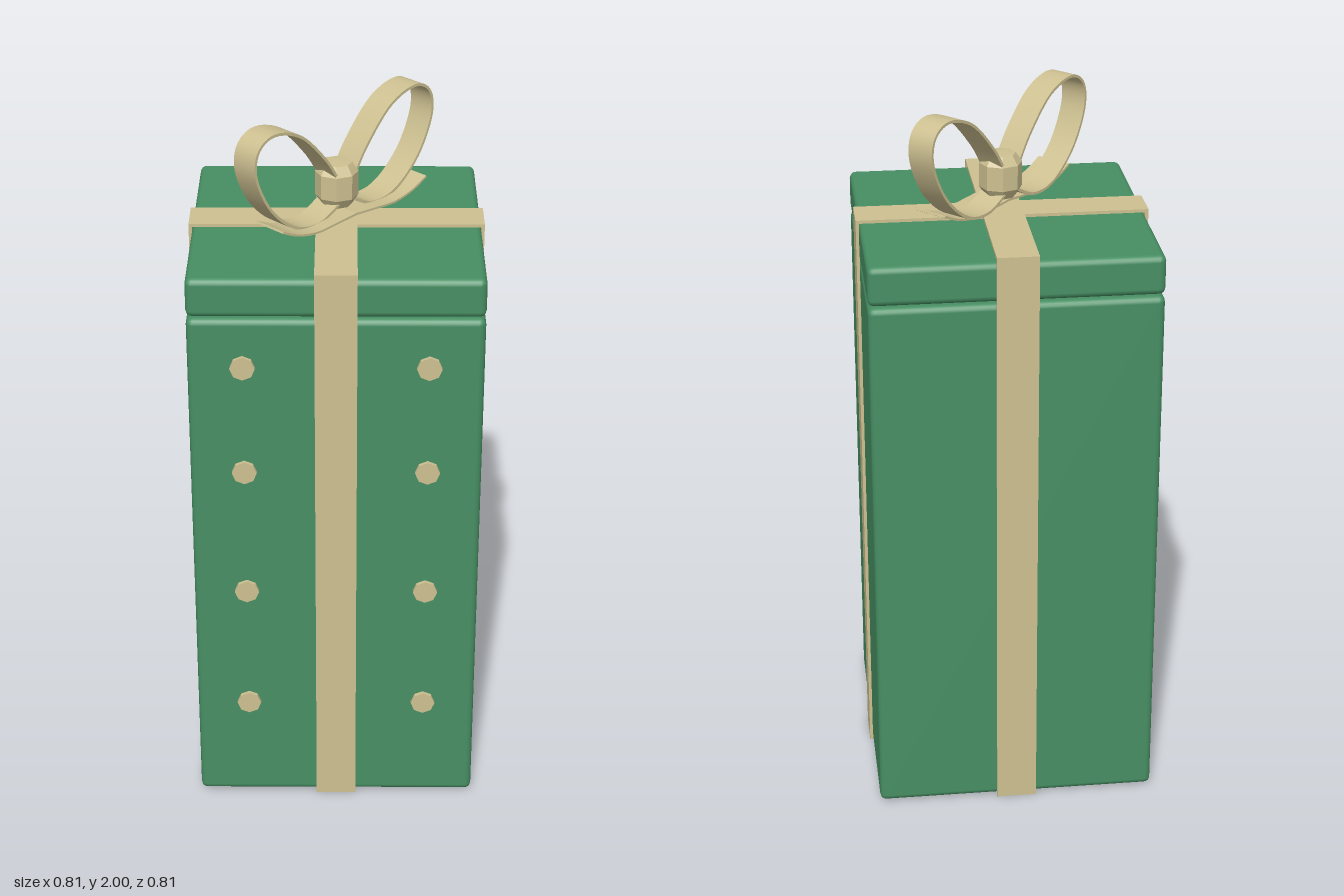
import * as THREE from 'three';
import { toCreasedNormals } from 'three/addons/utils/BufferGeometryUtils.js';
import { RoundedBoxGeometry } from 'three/addons/geometries/RoundedBoxGeometry.js';

const green = new THREE.MeshStandardMaterial({ color: 0x478f63 });
green.name = 'green wrapping';
const beige = new THREE.MeshStandardMaterial({ color: 0xcdc091 });
beige.name = 'beige ribbon';

function add(parent, name, geometry, material, x = 0, y = 0, z = 0) {
  const mesh = new THREE.Mesh(geometry, material);
  mesh.name = name;
  mesh.position.set(x, y, z);
  parent.add(mesh);
  return mesh;
}

// Flat ribbon following a smooth path in the xy plane, from z0 to z1
function ribbon(path, z0, z1, thickness = 0.008) {
  const curve = new THREE.SplineCurve(path.map(([x, y]) => new THREE.Vector2(x, y)));
  const a = [], b = [];
  const n = 48;
  for (let i = 0; i <= n; i++) {
    const p = curve.getPoint(i / n), t = curve.getTangent(i / n);
    const side = new THREE.Vector2(-t.y, t.x).multiplyScalar(thickness / 2);
    a.push(p.clone().add(side));
    b.push(p.clone().sub(side));
  }
  const shape = new THREE.Shape([...a, ...b.reverse()]);
  const geo = new THREE.ExtrudeGeometry(shape, { depth: z1 - z0, bevelEnabled: false });
  geo.translate(0, 0, z0);
  return toCreasedNormals(geo, 0.7);
}

export function createModel() {
  const model = new THREE.Group();
  model.name = 'giftBox';

  // Box and lid
  add(model, 'box', new RoundedBoxGeometry(0.795, 1.545, 0.795, 2, 0.018), green, 0, 0.777, 0);
  add(model, 'lid', new RoundedBoxGeometry(0.795, 0.11, 0.795, 2, 0.018), green, 0, 1.61, 0);

  // Ribbon bands around the box
  const w = 0.114;
  for (const s of [-1, 1]) {
    add(model, s > 0 ? 'frontBand' : 'backBand', new THREE.BoxGeometry(w, 1.683, 0.009), beige, 0, 0.8415, s * 0.4005);
    add(model, s > 0 ? 'leftBand' : 'rightBand', new THREE.BoxGeometry(0.009, 1.675, w), beige, s * 0.4015, 0.8375, 0);
  }
  add(model, 'topBandAcross', new THREE.BoxGeometry(0.812, 0.009, w), beige, 0, 1.6705, 0);
  add(model, 'topBandAlong', new THREE.BoxGeometry(w, 0.009, 0.81), beige, 0, 1.6795, 0);
  add(model, 'bottomBand', new THREE.BoxGeometry(0.812, 0.006, w), beige, 0, 0.003, 0);

  // Dots on the front face
  const dot = toCreasedNormals(new THREE.CylinderGeometry(0.034, 0.034, 0.014, 8).rotateX(Math.PI / 2), 0.3);
  for (const x of [-0.25, 0.25]) {
    for (const y of [0.325, 0.705, 1.09, 1.41]) add(model, 'dot', dot, beige, x, y, 0.402);
  }

  // Bow, set diagonally on the lid
  const bow = new THREE.Group();
  bow.name = 'bow';
  bow.rotation.y = Math.PI / 4;
  model.add(bow);
  const loop = [[0.03, 1.8], [0.08, 1.875], [0.17, 1.965], [0.265, 1.996], [0.325, 1.965],
    [0.333, 1.89], [0.28, 1.785], [0.19, 1.71], [0.1, 1.698], [0.02, 1.735]];
  const tail = [[0, 1.705], [0.07, 1.7], [0.15, 1.696], [0.22, 1.71], [0.276, 1.735]];
  for (const s of [1, -1]) {
    const side = s > 0 ? 'left' : 'right';
    const mirror = (path) => {
      const p = path.map(([x, y]) => [s * x, y]);
      return s > 0 ? p : p.reverse();
    };
    add(bow, side + 'Loop', ribbon(mirror(loop), -0.04, 0.04), beige);
    add(bow, side + 'Tail', ribbon(mirror(tail), -0.03, 0.078, 0.006), beige);
  }

  // Faceted knot
  const profile = [[0, 1.712], [0.042, 1.714], [0.06, 1.742], [0.06, 1.81], [0.042, 1.836], [0, 1.84]]
    .map(([r, y]) => new THREE.Vector2(r, y));
  add(bow, 'knot', toCreasedNormals(new THREE.LatheGeometry(profile, 8), 0.3), beige);

  return model;
}
